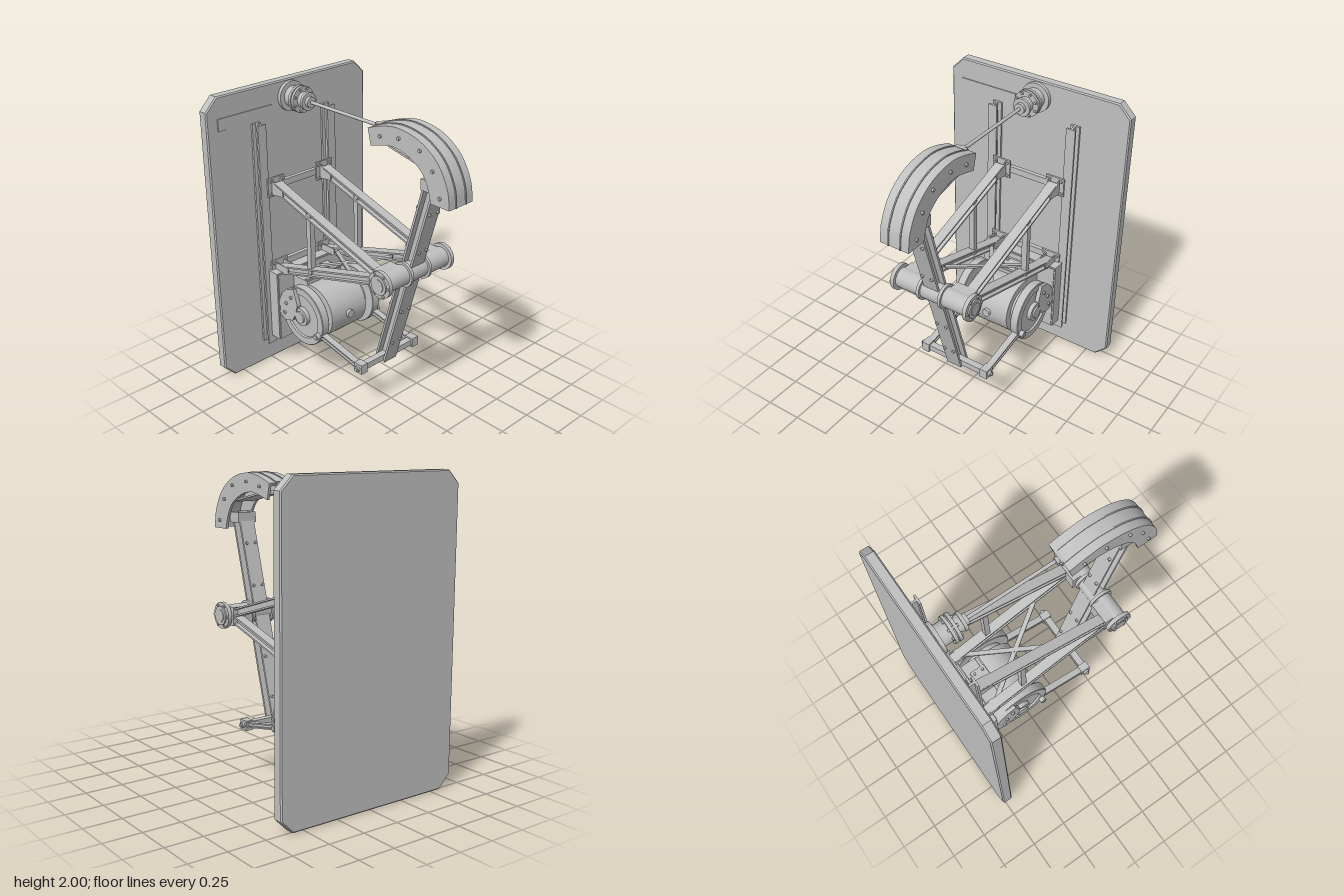
import * as THREE from 'three';
import { toCreasedNormals } from 'three/addons/utils/BufferGeometryUtils.js';

export function createModel() {
  const root = new THREE.Group();
  const steel = new THREE.MeshStandardMaterial({ color: 0xc0c0c0 });
  steel.name = 'brushed steel';

  const add = (name, geo, x = 0, y = 0, z = 0, parent = root) => {
    const m = new THREE.Mesh(geo, steel);
    m.name = name;
    m.position.set(x, y, z);
    parent.add(m);
    return m;
  };
  // box given by its limits
  const block = (name, x0, x1, y0, y1, z0, z1) =>
    add(name, new THREE.BoxGeometry(x1 - x0, y1 - y0, z1 - z0), (x0 + x1) / 2, (y0 + y1) / 2, (z0 + z1) / 2);
  // cylinders along x and z
  const cylX = (name, r, x0, x1, y, z, n = 40) => {
    const m = add(name, new THREE.CylinderGeometry(r, r, x1 - x0, n), (x0 + x1) / 2, y, z);
    m.rotation.z = Math.PI / 2;
    return m;
  };
  const cylZ = (name, r, z0, z1, x, y, n = 40) => {
    const m = add(name, new THREE.CylinderGeometry(r, r, z1 - z0, n), x, y, (z0 + z1) / 2);
    m.rotation.x = Math.PI / 2;
    return m;
  };
  const boltX = (s, x, y, z, r = 0.012, l = 0.014) => cylX('bolt', r, s * x - l / 2, s * x + l / 2, y, z, 6);
  const boltZ = (x, y, z, r = 0.01) => cylZ('bolt', r, z - 0.008, z + 0.008, x, y, 6);
  // outline in (z, y), extruded along x about cx
  const sideExtrude = (name, shape, width, cx) => {
    const g = toCreasedNormals(new THREE.ExtrudeGeometry(shape, { depth: width, bevelEnabled: false, curveSegments: 24 }), 0.5);
    const m = add(name, g, cx + width / 2, 0, 0);
    m.rotation.y = -Math.PI / 2;
    return m;
  };
  const polygon = pts => new THREE.Shape(pts.map(p => new THREE.Vector2(...p)));
  // I-section between two (z, y) points: flanges across x
  const iBeam = (name, x, [z0, y0], [z1, y1], width, depth, t, web = t) => {
    const g = new THREE.Group();
    g.name = name;
    g.position.set(x, (y0 + y1) / 2, (z0 + z1) / 2);
    g.rotation.x = Math.atan2(z1 - z0, y1 - y0);
    const len = Math.hypot(z1 - z0, y1 - y0);
    for (const s of [-1, 1]) add('flange', new THREE.BoxGeometry(width, len, t), 0, 0, s * (depth - t) / 2, g);
    add('web', new THREE.BoxGeometry(web, len, depth - 2 * t), 0, 0, 0, g);
    root.add(g);
  };
  // bar between any two points
  const bar = (name, a, b, w, d) => {
    const A = new THREE.Vector3(...a), B = new THREE.Vector3(...b);
    const m = add(name, new THREE.BoxGeometry(w, d, A.distanceTo(B)));
    m.position.copy(A).lerp(B, 0.5);
    m.lookAt(B);
  };

  // backing plate with clipped corners
  const W = 0.652, c = 0.08, b = 0.008;
  const plate = polygon([[-W + c, b], [W - c, b], [W, b + c], [W, 2 - b - c], [W - c, 2 - b], [-W + c, 2 - b], [-W, 2 - b - c], [-W, b + c]]);
  add('backPlate', new THREE.ExtrudeGeometry(plate, { depth: 0.054, bevelThickness: b, bevelSize: b, bevelSegments: 1 }), 0, 0, -0.762);
  block('blankLabel', -0.58, -0.16, 1.78, 1.86, -0.701, -0.693);

  // skid rails and cross members
  for (const s of [-1, 1]) iBeam('rail', s * 0.293, [-0.665, 0.17], [-0.665, 1.77], 0.065, 0.07, 0.014);
  block('upperCrossMember', -0.26, 0.26, 1.315, 1.36, -0.655, -0.625);
  block('lowerCrossMember', -0.26, 0.26, 0.74, 0.785, -0.655, -0.625);

  // gearbox base and housing
  block('gearboxBase', -0.295, 0.295, 0.23, 0.74, -0.63, -0.548);
  block('gearboxBaseRim', -0.285, 0.285, 0.24, 0.73, -0.55, -0.542);
  const GY = 0.49, GZ = -0.34;
  block('gearboxBlock', -0.155, 0.155, 0.29, 0.69, -0.545, -0.4);
  block('gearboxFlange', -0.15, 0.15, 0.28, 0.70, -0.43, -0.41);
  block('gearboxTopPlate', -0.08, 0.08, 0.69, 0.705, -0.515, -0.405);
  for (const x of [-0.055, 0.055]) for (const z of [-0.49, -0.43]) add('bolt', new THREE.CylinderGeometry(0.01, 0.01, 0.014, 6), x, 0.71, z);
  cylX('gearboxDrum', 0.185, -0.155, 0.155, GY, GZ, 48);
  cylX('drumStep', 0.135, -0.2, 0.2, GY, GZ);
  cylZ('drumCap', 0.028, -0.17, -0.135, 0, GY, 20);

  // flywheel profile with raised rim, turned about x
  const wheel = [[0.001, 0.2], [0.205, 0.2], [0.208, 0.204], [0.208, 0.256], [0.204, 0.26], [0.157, 0.26], [0.153, 0.246], [0.001, 0.246]];
  const wheelGeo = toCreasedNormals(new THREE.LatheGeometry(wheel.map(p => new THREE.Vector2(...p)), 56), 0.5);
  const weight = polygon([[-0.395, 0.68], [-0.47, 0.655], [-0.515, 0.61], [-0.54, 0.56], [-0.545, 0.47], [-0.535, 0.43], [-0.49, 0.41], [-0.415, 0.435], [-0.38, 0.5], [-0.36, 0.57]]);
  for (const s of [-1, 1]) {
    add('flywheel', wheelGeo, 0, GY, GZ).rotation.z = -s * Math.PI / 2;
    cylX('wheelHub', 0.065, s * 0.26 - 0.015, s * 0.26 + 0.015, GY, GZ);
    cylX('wheelShaft', 0.042, s * 0.265 - 0.022, s * 0.265 + 0.022, GY, GZ);
    sideExtrude('counterweight', weight, 0.03, s * 0.268);
    for (const [z, y] of [[-0.42, 0.61], [-0.47, 0.55], [-0.49, 0.47]]) boltX(s, 0.288, y, z);

    // crank rod from wheel to the equaliser bar
    iBeam('crankRod', s * 0.235, [0.205, 0.335], [-0.175, 0.41], 0.045, 0.035, 0.009);
    cylX('crankPin', 0.022, s * 0.255 - 0.035, s * 0.255 + 0.035, 0.41, -0.175, 20);
    boltX(s, 0.285, 0.41, -0.175, 0.016, 0.02);
    block('rodEnd', s * 0.235 - 0.027, s * 0.235 + 0.027, 0.302, 0.368, 0.17, 0.238);
    cylX('rodEndPin', 0.02, s * 0.265 - 0.012, s * 0.265 + 0.012, 0.335, 0.205, 20);
    boltX(s, 0.28, 0.335, 0.205, 0.012);
  }
  block('equaliserBar', -0.23, 0.23, 0.315, 0.355, 0.182, 0.228);

  // side support frames
  const PY = 1.035, PZ = 0.415;
  for (const s of [-1, 1]) {
    const x = s * 0.208;
    iBeam('upperArm', x, [PZ, PY], [-0.61, 1.345], 0.066, 0.055, 0.011);
    iBeam('lowerArm', x, [PZ, PY], [-0.61, 0.735], 0.066, 0.055, 0.011);
    block('strut', x - 0.02, x + 0.02, 0.82, 1.25, -0.305, -0.268);
    for (const y of [1.337, 0.74]) {
      block('mountPlate', x - 0.068, x + 0.068, y - 0.066, y + 0.066, -0.632, -0.618);
      for (const dx of [-0.05, 0.05]) for (const dy of [-0.045, 0.045]) boltZ(x + dx, y + dy, -0.615);
    }
    for (const side of [-1, 1]) {
      sideExtrude('upperGusset', polygon([[-0.62, 1.28], [-0.62, 1.395], [-0.58, 1.36], [-0.51, 1.34], [-0.51, 1.3], [-0.58, 1.29]]), 0.008, x + side * 0.034);
      sideExtrude('lowerGusset', polygon([[-0.62, 0.72], [-0.62, 0.79], [-0.49, 0.79], [-0.49, 0.755]]), 0.008, x + side * 0.034);
    }
    bar('crossBrace', [s * 0.18, 0.773, -0.47], [-s * 0.18, 0.933, 0.07], 0.03, 0.014);
    // saddle bearing on the pivot
    block('saddle', s * 0.175 - 0.075, s * 0.175 + 0.075, PY - 0.062, PY + 0.062, 0.325, PZ);
    cylX('pivotFlange', 0.088, s * 0.272 - 0.013, s * 0.272 + 0.013, PY, PZ);
    cylX('pivotCap', 0.062, s * 0.287 - 0.008, s * 0.287 + 0.008, PY, PZ);
    cylX('pivotEnd', 0.042, s * 0.29 - 0.01, s * 0.29 + 0.01, PY, PZ);
    for (let i = 0; i < 6; i++) boltX(s, 0.287, PY + 0.074 * Math.sin(i * Math.PI / 3), PZ + 0.074 * Math.cos(i * Math.PI / 3), 0.009);
    cylX('pivotCollar', 0.082, s * 0.08 - 0.01, s * 0.08 + 0.01, PY, PZ);
  }
  cylX('pivotShaft', 0.066, -0.27, 0.27, PY, PZ);

  // walking beam
  const beamZ = y => 0.2 + (y - 0.33) * 0.286;
  iBeam('walkingBeam', 0, [beamZ(0.31), 0.31], [beamZ(1.69), 1.69], 0.11, 0.085, 0.015, 0.03);
  for (const y of [0.48, 0.74, 1.2, 1.475]) for (const x of [-0.035, 0.035])
    for (const s of [-1, 1]) boltZ(x, y - s * 0.012, beamZ(y) + s * 0.047);
  block('beamHeadSeat', -0.07, 0.07, 1.62, 1.69, beamZ(1.65) - 0.05, beamZ(1.65) + 0.05);

  // curved head: outer band, side cheeks and two thin ribs
  const outer = [[0.775, 1.575], [0.755, 1.70], [0.675, 1.835], [0.54, 1.925], [0.38, 1.958], [0.25, 1.942], [0.125, 1.90]];
  const inner = [[0.15, 1.795], [0.28, 1.83], [0.36, 1.835], [0.46, 1.808], [0.56, 1.745], [0.61, 1.66], [0.635, 1.575]];
  const vecs = pts => pts.map(p => new THREE.Vector2(...p));
  const path = pts => new THREE.SplineCurve(vecs(pts)).getPoints(28);
  const offset = (pts, d) => pts.map(p => {
    const v = new THREE.Vector2(p[0] - 0.38, p[1] - 1.565);
    return v.setLength(v.length() + d).add(new THREE.Vector2(0.38, 1.565)).toArray();
  });
  const strip = (a, bb) => new THREE.Shape([...path(a), ...path(bb)]);
  const back = d => offset(outer, d).reverse();
  sideExtrude('headBand', strip(outer, back(-0.025)), 0.2, 0);
  for (const s of [-1, 1]) {
    sideExtrude('headCheek', strip(outer, inner), 0.018, s * 0.091);
    sideExtrude('headRib', strip(offset(outer, 0.006), back(-0.01)), 0.008, s * 0.042);
    for (const [z, y] of [[0.705, 1.63], [0.645, 1.775], [0.545, 1.87], [0.38, 1.9], [0.23, 1.875]]) boltX(s, 0.106, y, z, 0.011);
  }
  bar('headTie', [0, 1.765, 0.57], [0, 1.825, 0.28], 0.17, 0.012);

  // rod and its clamp
  block('rodBracket', -0.04, 0.04, 1.865, 1.91, 0.12, 0.145);
  cylZ('rodClamp', 0.022, 0.1, 0.145, 0, 1.887, 16);
  cylZ('pumpRod', 0.011, -0.5, 0.13, 0, 1.887, 16);

  // wellhead flange stack
  for (const [r, z0, z1] of [[0.1, -0.702, -0.675], [0.068, -0.68, -0.6], [0.088, -0.612, -0.593], [0.088, -0.585, -0.566], [0.075, -0.595, -0.58], [0.052, -0.57, -0.51], [0.06, -0.53, -0.51], [0.035, -0.512, -0.487]])
    cylZ('wellheadRing', r, z0, z1, 0, 1.887);
  for (let i = 0; i < 8; i++) {
    const a = (i + 0.5) * Math.PI / 4;
    cylZ('wellheadBolt', 0.009, -0.622, -0.556, 0.074 * Math.cos(a), 1.887 + 0.074 * Math.sin(a), 6);
  }
  return root;
}
